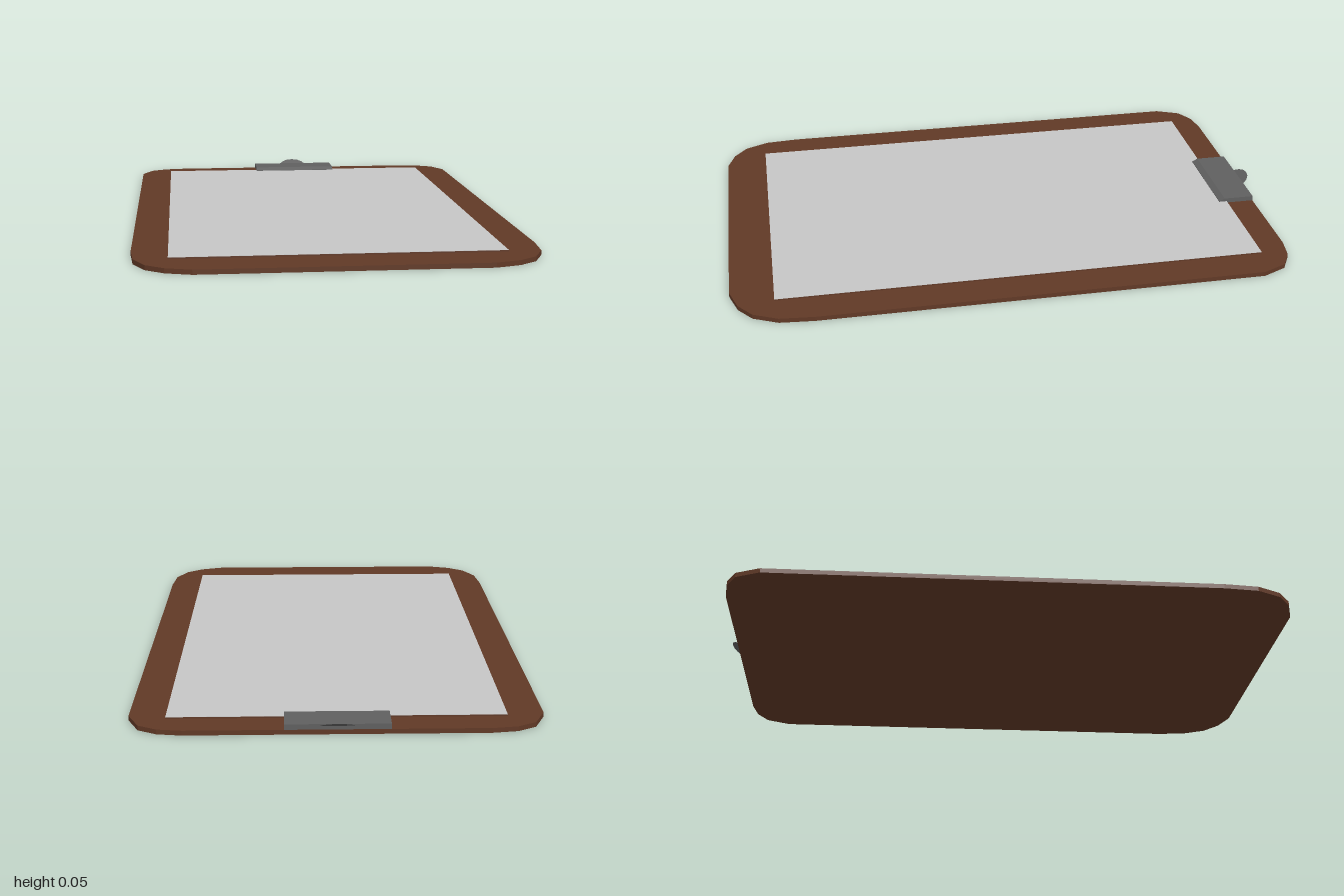
import * as THREE from 'three';

const wood = new THREE.MeshStandardMaterial({ name: 'brown wood', color: 0x613926 });
const paper = new THREE.MeshStandardMaterial({ name: 'pale paper', color: 0xc6c6c6 });
const metal = new THREE.MeshStandardMaterial({ name: 'dark metal', color: 0x606060, side: THREE.DoubleSide });

function add(group, name, geometry, material) {
  const mesh = new THREE.Mesh(geometry, material);
  mesh.name = name;
  group.add(mesh);
  return mesh;
}

// Extrude an outline without bevels
const extrude = (points, depth) => new THREE.ExtrudeGeometry(
  new THREE.Shape(points.map(([x, y]) => new THREE.Vector2(x, y))),
  { depth, bevelEnabled: false });

export function createModel() {
  const group = new THREE.Group();
  group.name = 'clipboard';

  // Board: one half outline as [x, z], mirrored, with chamfered round corners
  const half = [
    [0.47, 1.0], [0.555, 0.972], [0.615, 0.925], [0.655, 0.84], [0.665, 0.72],
    [0.665, -0.835], [0.627, -0.92], [0.565, -0.955], [0.485, -0.967],
  ];
  const mirrored = half.map(([x, z]) => [-x, z]).reverse();
  const board = extrude([...half, ...mirrored].map(([x, z]) => [x, -z]), 0.016);
  board.rotateX(-Math.PI / 2);
  add(group, 'board', board, wood);

  // Raised pad with a thin sheet on top
  const pad = add(group, 'pad', new THREE.BoxGeometry(1.09, 0.006, 1.715), wood);
  pad.position.set(0, 0.018, -0.0075);
  const sheet = add(group, 'sheet', new THREE.BoxGeometry(1.09, 0.001, 1.715), paper);
  sheet.position.set(0, 0.0215, -0.0075);

  // Clip: side profile as [z, y] with a sloping front lip
  const clip = extrude([[-0.967, 0.016], [-0.835, 0.016], [-0.835, 0.023], [-0.856, 0.034], [-0.967, 0.034]], 0.336);
  clip.translate(0, 0, -0.168);
  clip.rotateY(-Math.PI / 2);
  add(group, 'clip', clip, metal);

  // Thumb tab: a thin curved plate rising behind the clip
  const tabShape = new THREE.Shape([
    [-0.055, 0], [0.055, 0], [0.053, 0.011], [0.043, 0.024], [0.024, 0.036],
    [0, 0.04], [-0.024, 0.036], [-0.043, 0.024], [-0.053, 0.011],
  ].map(([x, y]) => new THREE.Vector2(x, y)));
  const tab = add(group, 'thumbTab', new THREE.ShapeGeometry(tabShape), metal);
  tab.rotation.x = -Math.PI / 3;
  tab.position.set(0, 0.027, -0.9655);

  return group;
}
